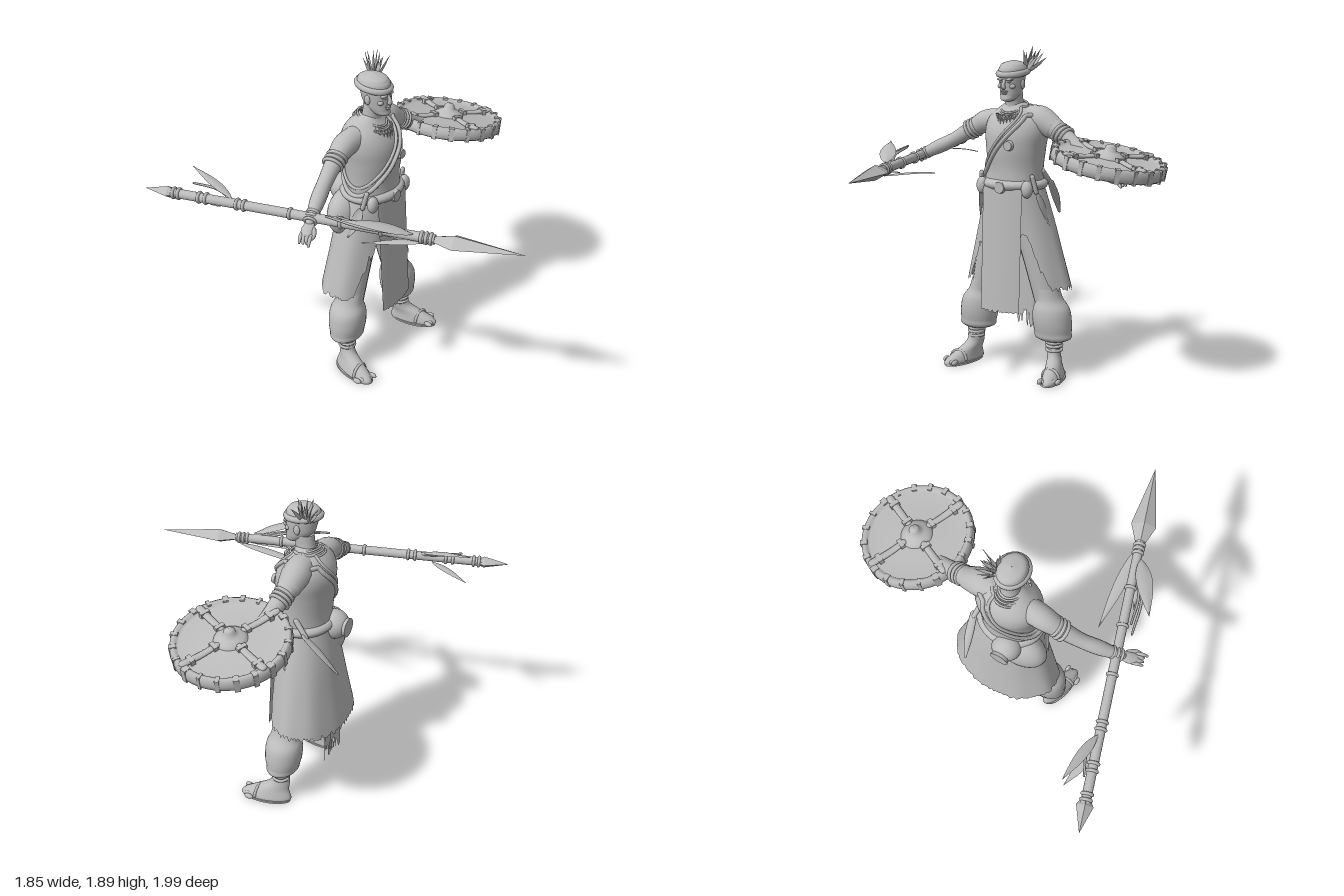
import * as THREE from 'three';
import { mergeVertices } from 'three/addons/utils/BufferGeometryUtils.js';

const V = (x, y, z) => new THREE.Vector3(x, y, z);
const clay = new THREE.MeshStandardMaterial({ color: 0xbcbcbc, side: THREE.DoubleSide });
clay.name = 'clay grey';

function add(parent, name, geo, pos) {
  const m = new THREE.Mesh(geo, clay);
  m.name = name;
  if (pos) m.position.copy(pos);
  parent.add(m);
  return m;
}
// Smooth surface from a function of two parameters in 0..1
function grid(nu, nv, f) {
  const pos = [], idx = [];
  for (let j = 0; j <= nv; j++) for (let i = 0; i <= nu; i++) pos.push(...f(i / nu, j / nv).toArray());
  for (let j = 0; j < nv; j++) for (let i = 0; i < nu; i++) {
    const a = j * (nu + 1) + i, b = a + nu + 1;
    idx.push(a, a + 1, b, a + 1, b + 1, b);
  }
  let g = new THREE.BufferGeometry();
  g.setAttribute('position', new THREE.Float32BufferAttribute(pos, 3));
  g.setIndex(idx);
  g = mergeVertices(g, 1e-5);
  g.computeVertexNormals();
  return g;
}
// Rows of [y, cx, cz, rx, rz] to a point at angle a (0 = front) and height y
function profile(rows) {
  const it = new THREE.CubicInterpolant(rows.map(r => r[0]), rows.flatMap(r => r.slice(1)), 4);
  return (a, y, k = 1) => {
    const [cx, cz, rx, rz] = it.evaluate(y);
    return V(cx + rx * k * Math.sin(a), y, cz + rz * k * Math.cos(a));
  };
}
function loft(rows, nu = 32, nv = 24) {
  const p = profile(rows), y0 = rows[0][0], y1 = rows.at(-1)[0];
  return grid(nu, nv, (u, v) => p(u * Math.PI * 2, y0 + (y1 - y0) * v));
}
// Round-ended sweep with changing radius
function limb(pts, radii, squash = 1, sides = 14, rows = 18) {
  const curve = new THREE.CatmullRomCurve3(pts), n = pts.length - 1;
  const rad = new THREE.CubicInterpolant(radii.map((_, i) => i / n), radii, 1);
  const st = [[0, 0, -1], [0, 0.7, -0.7]];
  for (let i = 0; i <= rows; i++) st.push([i / rows, 1, 0]);
  st.push([1, 0.7, 0.7], [1, 0, 1]);
  return grid(sides, st.length - 1, (u, v) => {
    const [t, k, o] = st[Math.round(v * (st.length - 1))];
    const r = rad.evaluate(t)[0], d = curve.getTangent(t);
    const ref = Math.abs(d.y) > 0.9 ? V(0, 0, 1) : V(0, 1, 0);
    const s = V().crossVectors(d, ref).normalize(), w = V().crossVectors(s, d);
    const a = u * Math.PI * 2;
    return curve.getPoint(t).addScaledVector(d, o * r).addScaledVector(s, Math.cos(a) * r * k)
      .addScaledVector(w, Math.sin(a) * r * k * squash);
  });
}
// Pointed blade or feather, cambered along its spine
function leaf(a, b, w, n) {
  const d = b.clone().sub(a), s = V().crossVectors(d, n).normalize(), up = V().crossVectors(s, d).normalize();
  return grid(4, 12, (u, v) => a.clone().addScaledVector(d, v)
    .addScaledVector(s, (u - 0.5) * w * Math.sin(Math.PI * v ** 0.75))
    .addScaledVector(up, (Math.sin(Math.PI * v) * 0.12 - Math.abs(u - 0.5) * 0.2) * w));
}
const loop = (f, r, n = 40) => new THREE.TubeGeometry(new THREE.CatmullRomCurve3(
  Array.from({ length: n }, (_, i) => f(i / n * Math.PI * 2)), true), n * 2, r, 8, true);
const rag = i => Math.abs(Math.sin(i * 12.9898) * 43758.5453) % 1;
const lathe = (pts, n = 40) => new THREE.LatheGeometry(pts.map(p => new THREE.Vector2(...p)), n);
const ball = (rx, ry, rz) => new THREE.SphereGeometry(1, 24, 16).scale(rx, ry, rz);
// Ring around a limb point, facing along d
function cuff(parent, name, p, d, R, r) {
  add(parent, name, new THREE.TorusGeometry(R, r, 8, 24), p).quaternion.setFromUnitVectors(V(0, 0, 1), d.clone().normalize());
}

const TORSO = [[1.06, 0, -.15, .165, .145], [1.2, 0, -.15, .163, .138], [1.32, 0, -.15, .172, .15], [1.42, 0, -.16, .182, .152],
  [1.49, 0, -.168, .165, .125], [1.54, 0, -.17, .11, .085], [1.575, 0, -.155, .052, .055]];

function buildHead(b) {
  add(b, 'neck', loft([[1.52, 0, -.155, .062, .062], [1.57, 0, -.145, .051, .055], [1.64, 0, -.13, .05, .06]]));
  add(b, 'head', loft([[1.583, 0, -.07, .012, .018], [1.59, 0, -.073, .032, .038], [1.615, 0, -.092, .05, .058], [1.65, 0, -.112, .06, .078],
    [1.7, 0, -.12, .066, .088], [1.76, 0, -.128, .068, .092]]));
  add(b, 'nose', limb([V(0, 1.705, -.036), V(0, 1.68, -.024), V(0, 1.665, -.026)], [.008, .011, .014]));
  add(b, 'upperLip', ball(.022, .006, .012), V(0, 1.642, -.037));
  add(b, 'lowerLip', ball(.018, .007, .012), V(0, 1.631, -.037));
  for (const s of [1, -1]) {
    add(b, 'brow', ball(.026, .008, .014), V(s * .027, 1.709, -.043));
    add(b, 'cheek', ball(.018, .014, .016), V(s * .038, 1.67, -.058));
    add(b, 'eye', ball(.012, .006, .01), V(s * .026, 1.694, -.043));
    add(b, 'ear', ball(.01, .028, .018), V(s * .067, 1.68, -.125));
  }
  // Cap, rolled band and plume
  add(b, 'cap', loft([[1.74, 0, -.13, .078, .1], [1.775, 0, -.133, .074, .092], [1.8, 0, -.136, .05, .062], [1.813, 0, -.137, .001, .001]]));
  add(b, 'headband', loop(a => V(Math.sin(a) * .075, 1.745 - .012 * Math.cos(a), -.13 + Math.cos(a) * .093), .019));
  for (let i = 0; i < 16; i++) {
    const q = i / 15, base = V(.06, 1.74, -.16 - q * .03);
    const tip = V(.07 + rag(i) * .1, 1.8 + rag(i + 20) * .09, -.13 - q * .14);
    add(b, 'plumeFeather', leaf(base, tip, .022, i % 2 ? V(0, 0, 1) : V(1, 0, .3)));
  }
}

function buildTorso(b) {
  const T = profile(TORSO);
  add(b, 'torso', loft(TORSO, 40, 30));
  // Wrap worn over the left shoulder
  const edge = a => Math.min(1.555, 1.41 + .23 * Math.sin(a + .15) - .05 * Math.cos(a));
  add(b, 'wrap', grid(64, 20, (u, v) => {
    const a = u * Math.PI * 2, y = 1.1 + (edge(a) - 1.1) * v;
    return T(a, y, 1.06 + .012 * Math.sin(a * 5 + y * 22));
  }));
  add(b, 'wrapEdge', loop(a => T(a, edge(a), 1.05), .009));
  add(b, 'shoulderCloth', limb([V(.07, 1.49, -.17), V(.16, 1.478, -.175), V(.245, 1.435, -.175)], [.075, .079, .064]));
  add(b, 'strap', loop(a => T(a, edge(a) - .045, 1.09), .013));
  add(b, 'strapDisc', new THREE.CylinderGeometry(.026, .03, .02, 24).rotateX(Math.PI / 2), V(.055, 1.345, .012));
  for (const [k, dy] of [[1, 0], [1.15, -.015], [1.3, -.03]])
    add(b, 'necklace', loop(a => V(Math.sin(a) * .068 * k, 1.55 - .028 * Math.cos(a) + dy, -.145 + Math.cos(a) * .085 * k), .006));
  for (let i = -4; i <= 4; i++) {
    const a = i * .22, p = V(Math.sin(a) * .09, 1.48 + .02 * Math.abs(a), -.145 + Math.cos(a) * .118);
    add(b, 'toothPendant', new THREE.ConeGeometry(.009, .055 - Math.abs(i) * .005, 6).rotateX(Math.PI - .25), p);
  }
  // Belt, buckle and hanging gear
  add(b, 'belt', loft([[1.085, 0, -.15, .17, .15], [1.09, 0, -.15, .183, .16], [1.14, 0, -.15, .18, .158], [1.145, 0, -.15, .165, .145]], 40, 10));
  add(b, 'buckle', new THREE.CylinderGeometry(.032, .036, .02, 24).rotateX(Math.PI / 2), V(0, 1.105, .015));
  for (const s of [1, -1]) {
    add(b, 'beltPouch', ball(.035, .05, .03), V(s * .15, 1.1, -.035));
    add(b, 'knifeHilt', limb([V(s * .17, 1.17, -.06), V(s * .185, 1.08, -.08)], [.014, .013]));
    add(b, 'knifeBlade', leaf(V(s * .185, 1.09, -.08), V(s * .235, .88, -.15), .06, V(1, 0, 0)));
  }
  add(b, 'swordHilt', limb([V(.165, 1.19, -.18), V(.18, 1.11, -.25)], [.016, .014]));
  add(b, 'swordSheath', limb([V(.185, 1.12, -.24), V(.165, 1.02, -.335), V(.14, .91, -.425)], [.02, .024, .008], .5));
  add(b, 'satchel', ball(.17, .15, .1), V(-.1, .98, -.235));
  add(b, 'gourd', ball(.085, .085, .085), V(-.06, 1.085, -.3));
  add(b, 'gourdLid', new THREE.CylinderGeometry(.05, .055, .02, 24).rotateX(Math.PI / 2), V(-.06, 1.085, -.378));
}

function buildSkirt(b) {
  // Flared skirt with a ragged hem that rises at the front
  const S = profile([[.4, 0, -.21, .36, .22], [.5, 0, -.205, .338, .208], [.7, 0, -.19, .285, .188], [.9, 0, -.175, .232, .17], [1.12, 0, -.15, .17, .15]]);
  add(b, 'skirt', grid(160, 20, (u, v) => {
    const a = (u - .5) * Math.PI * 2, q = Math.abs(a);
    const rise = 1 - THREE.MathUtils.smoothstep(q, .55, 1.05);
    const hem = .5 - .04 * THREE.MathUtils.smoothstep(q, 1.5, 3) + .27 * rise + rag(Math.round(u * 160) % 160) * (.03 + .06 * rise);
    const y = 1.12 + (hem - 1.12) * v;
    return S(a, y, 1 + .012 * v * Math.sin(a * 9));
  }));
  const strip = (w, y0, y1, z0, z1, tear, seed) => grid(26, 12, (u, v) => {
    const bottom = y1 + rag(Math.round(u * 26) + seed) * tear;
    const x = (u - .5) * 2;
    return V(x * w, y0 + (bottom - y0) * v, z0 + (z1 - z0) * v - x * x * .02);
  });
  add(b, 'frontPanel', strip(.13, 1.1, .37, .006, .035, .02, 3));
  add(b, 'rearTatters', strip(.1, .65, .19, -.31, -.325, .14, 50));
}

function buildLeg(b, s) {
  add(b, 'thigh', limb([V(s * .1, .9, -.15), V(s * .17, .65, -.155), V(s * .225, .42, -.155)], [.1, .09, .075]));
  add(b, 'puffedTrouser', loft([[.205, s * .265, -.15, .05, .045], [.22, s * .262, -.153, .1, .08], [.26, s * .258, -.155, .112, .095],
    [.33, s * .252, -.155, .116, .107], [.4, s * .245, -.155, .105, .103], [.45, s * .235, -.155, .076, .085], [.52, s * .215, -.155, .07, .08]], 32, 30));
  for (const y of [.155, .18, .2]) cuff(b, 'ankleBand', V(s * .272, y, -.147), V(0, 1, 0), .044, .009);
  const foot = loft([[0, s * .298, -.07, .05, .14], [.012, s * .298, -.07, .058, .148], [.035, s * .296, -.075, .054, .138], [.07, s * .29, -.1, .046, .1],
    [.11, s * .28, -.137, .042, .062], [.16, s * .272, -.147, .04, .048], [.24, s * .268, -.15, .045, .05]], 32, 24);
  const p = foot.attributes.position;
  for (let i = 0; i < p.count; i++) p.setX(i, p.getX(i) + s * .22 * (p.getZ(i) + .13)); // toe-out
  foot.computeVertexNormals();
  add(b, 'foot', foot);
  add(b, 'sole', new THREE.CylinderGeometry(1, 1, .012, 32).scale(.064, 1, .148).rotateY(s * .2), V(s * .31, .006, -.07));
  for (let i = 0; i < 5; i++) add(b, 'toe', ball(.014, .016, .028), V(s * (.295 + i * .023), .022, .052 - i * .011));
  add(b, 'sandalStrap', new THREE.TorusGeometry(.055, .009, 8, 20, Math.PI), V(s * .32, .022, -.025));
}

function buildArm(b, s) {
  add(b, 'arm', limb([V(s * .11, 1.465, -.17), V(s * .21, 1.452, -.175), V(s * .31, 1.4, -.165), V(s * .42, 1.335, -.145), V(s * .52, 1.285, -.115), V(s * .635, 1.228, -.075)],
    [.068, .066, .05, .041, .041, .025], 1, 18, 30));
  const d = V(s * .11, -.06, .02), f = V(s * .11, -.055, .035);
  for (const t of [0, .022, .044]) cuff(b, 'armBand', V(s * (.28 + t), 1.416 - t * .5, -.17 + t * .1), d, .052, .01);
  for (const t of [0, .022, .044]) cuff(b, 'wristBand', V(s * (.585 + t), 1.252 - t * .5, -.092 + t * .32), f, .031, .008);
  add(b, 'palm', limb([V(s * .635, 1.226, -.075), V(s * .67, 1.21, -.06), V(s * .7, 1.2, -.045)], [.024, .035, .03], .5));
  for (let i = 0; i < 4; i++) {
    const z = -.075 + i * .02;
    add(b, 'finger', limb([V(s * .7, 1.2, z), V(s * .73, 1.193, z + .012), V(s * (.752 - (i % 3) * .006), 1.175, z + .022)], [.01, .01, .007]));
  }
  add(b, 'thumb', limb([V(s * .655, 1.21, -.035), V(s * .685, 1.2, -.01), V(s * .71, 1.195, .0)], [.013, .012, .008]));
}

function buildShield(root) {
  const g = new THREE.Group();
  g.name = 'shield';
  g.position.set(.605, 1.295, -.065);
  g.rotation.z = -.2;
  root.add(g);
  add(g, 'shieldDisc', lathe([[0, -.012], [.28, -.02], [.298, -.036], [.313, -.025], [.315, 0], [.31, .028], [.296, .037], [.278, .03], [.268, .014], [.15, .022], [0, .03]], 56));
  add(g, 'boss', lathe([[.09, .012], [.088, .03], [.07, .04], [.05, .055], [.034, .06], [.03, .08], [.018, .092], [0, .096]]));
  for (let i = 0; i < 4; i++) {
    const a = .44 + i * Math.PI / 2, c = Math.cos(a), s = Math.sin(a);
    add(g, 'spoke', limb([V(c * .08, .032, s * .08), V(c * .18, .027, s * .18), V(c * .285, .036, s * .285)], [.018, .02, .022], .6));
    for (const r of [.1, .24]) add(g, 'spokeLashing', new THREE.BoxGeometry(.025, .03, .055), V(c * r, .03, s * r)).rotation.y = -a;
  }
  for (let i = 0; i < 20; i++) {
    const a = i / 20 * Math.PI * 2;
    add(g, 'rimBinding', new THREE.BoxGeometry(.04, .076, .016 + rag(i) * .02), V(Math.cos(a) * .296, 0, Math.sin(a) * .296)).rotation.y = -a;
  }
  add(g, 'armLoop', new THREE.TorusGeometry(.05, .01, 8, 20, Math.PI).rotateX(Math.PI).rotateY(Math.PI / 2), V(-.16, -.015, -.03));
}

function buildSpear(root) {
  const g = new THREE.Group(), d = V(.62, 0, 1.985).normalize(), x = V(d.z, 0, -d.x);
  g.name = 'spear';
  g.position.set(-.62, 1.24, -.0075);
  g.quaternion.setFromRotationMatrix(new THREE.Matrix4().makeBasis(x, d, V().crossVectors(x, d)));
  root.add(g);
  add(g, 'shaft', new THREE.CylinderGeometry(.026, .026, 1.48, 16), V(0, -.16, 0));
  const cone = (name, top, bottom, h, y, flat) => {
    const geo = new THREE.CylinderGeometry(top, bottom, h, 4).scale(1, 1, flat).toNonIndexed();
    geo.computeVertexNormals();
    add(g, name, geo, V(0, y, 0));
  };
  cone('spearBlade', 0, .07, .36, .86, .6);
  cone('spearSocket', .07, .026, .11, .625, .6);
  cone('buttPoint', 0.045, 0, .14, -.97, .8);
  cone('buttSocket', .025, .045, .03, -.885, .8);
  for (const y of [.56, .535, .51, .3, .08, -.2, -.46, -.5, -.68, -.72, -.84, -.87]) cuff(g, 'shaftBinding', V(0, y, 0), V(0, 1, 0), .026, .009);
  // Feathers and cords tied to the shaft
  const up = V(0, 1, 0);
  const ties = [[-.45, 1.21, .53, -.48, 1.155, .02, .065], [-.5, 1.27, .45, -.7, 1.345, .15, .09], [-.47, 1.22, .5, -.6, 1.17, .2, .05],
    [-.77, 1.27, -.52, -.73, 1.34, -.83, .055], [-.8, 1.21, -.58, -.74, 1.165, -.82, .05]];
  for (const [ax, ay, az, bx, by, bz, w] of ties) add(root, 'spearFeather', leaf(V(ax, ay, az), V(bx, by, bz), w, up));
  for (const [z0, z1, dx] of [[.45, .03, -.07], [.4, .08, -.05], [-.5, -.75, .05]]) {
    const sx = z => -.62 + z * .312;
    add(root, 'spearCord', limb([V(sx(z0), 1.25, z0), V(sx((z0 + z1) / 2) + dx, 1.28, (z0 + z1) / 2), V(sx(z1) + dx * .8, 1.3, z1)], [.009, .008, .006], 1, 6));
  }
}

export function createModel() {
  const root = new THREE.Group(), body = new THREE.Group();
  root.name = 'warrior';
  body.name = 'body';
  body.position.x = -.035;
  root.add(body);
  buildHead(body);
  buildTorso(body);
  buildSkirt(body);
  for (const s of [1, -1]) {
    buildLeg(body, s);
    buildArm(body, s);
  }
  buildShield(root);
  buildSpear(root);
  return root;
}
